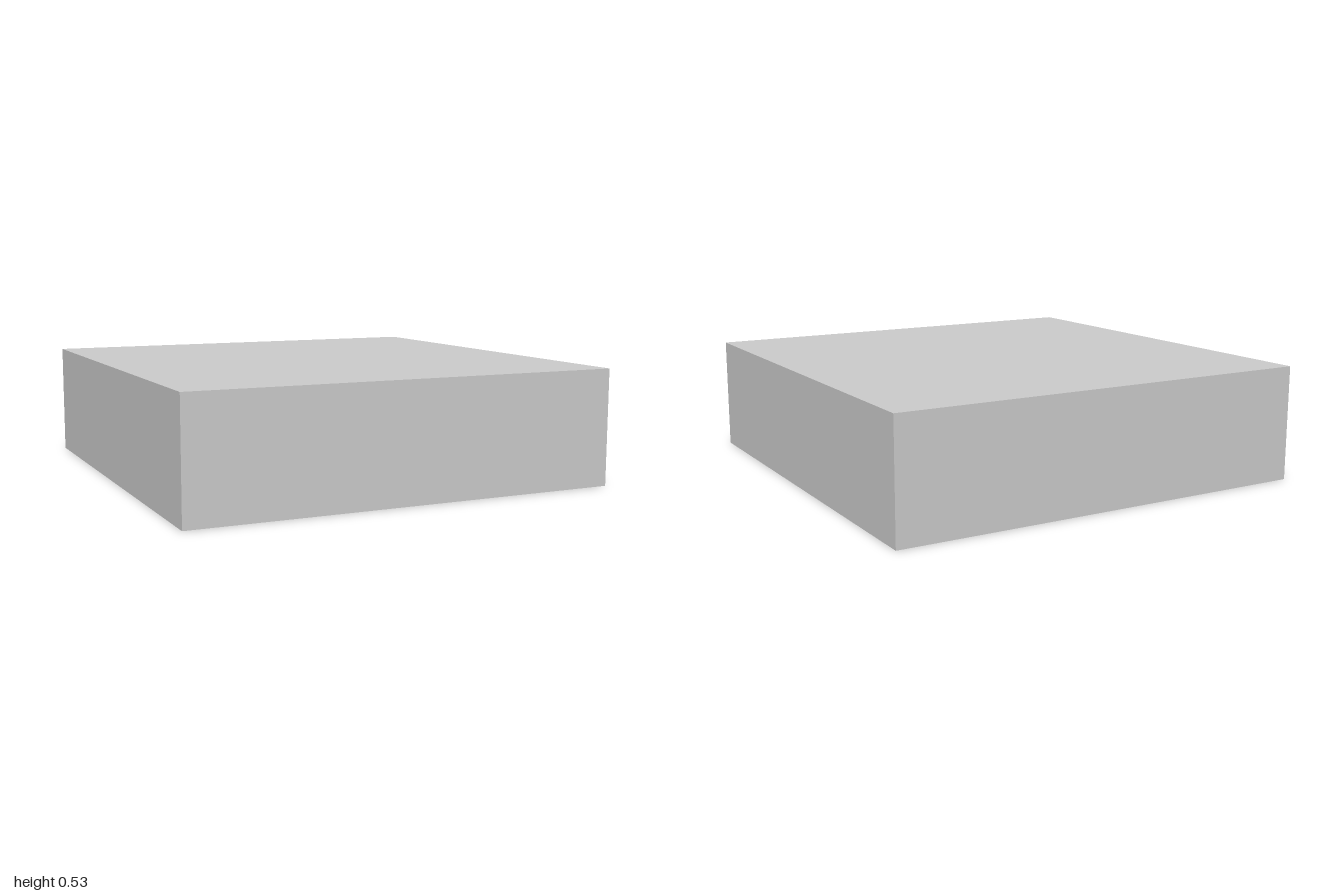
import * as THREE from 'three';

const H = 0.533;        // block height
const R = 1 / 3;        // well radius
const DEPTH = 0.333;    // well depth
const OFFSET = 0.467;   // well centres from the middle
const SLOT = 0.067;     // channel width and height
const SEG = 64;

// Box that keeps only the listed faces (0 +x, 1 -x, 2 +y, 3 -y, 4 +z, 5 -z)
function partialBox(w, h, d, faces) {
  const geo = new THREE.BoxGeometry(w, h, d);
  const all = Array.from(geo.index.array);
  geo.setIndex(faces.flatMap(f => all.slice(f * 6, f * 6 + 6)));
  geo.clearGroups();
  return geo;
}

export function createModel() {
  const group = new THREE.Group();
  const outside = new THREE.MeshStandardMaterial({ color: 0xcccccc });
  const inside = new THREE.MeshStandardMaterial({ color: 0xcccccc, side: THREE.DoubleSide });

  const add = (name, geo, mat, x, y, z) => {
    const mesh = new THREE.Mesh(geo, mat);
    mesh.name = name;
    mesh.position.set(x, y, z);
    group.add(mesh);
    return mesh;
  };

  // Top and four sides of the block
  add('blockShell', partialBox(2, H, 2, [0, 1, 2, 4, 5]), outside, 0, H / 2, 0);

  // Underside, pierced by the four wells
  const base = new THREE.Shape([[-1, -1], [1, -1], [1, 1], [-1, 1]].map(p => new THREE.Vector2(...p)));
  for (const x of [-OFFSET, OFFSET]) {
    for (const z of [-OFFSET, OFFSET]) {
      base.holes.push(new THREE.Path().absarc(x, z, R, 0, Math.PI * 2, true));
    }
  }
  add('underside', new THREE.ShapeGeometry(base, SEG / 2), outside, 0, 0, 0).rotation.x = Math.PI / 2;

  // Blind wells, each wall left open at the top where a channel enters
  const gap = Math.asin(SLOT / 2 / R);
  const low = DEPTH - SLOT;
  for (const x of [-OFFSET, OFFSET]) {
    for (const z of [-OFFSET, OFFSET]) {
      const start = (z < 0 ? 0 : Math.PI) + gap;
      add('wellWall', new THREE.CylinderGeometry(R, R, low, SEG, 1, true), inside, x, low / 2, z);
      add('wellUpperWall', new THREE.CylinderGeometry(R, R, SLOT, SEG, 1, true, start, Math.PI * 2 - gap * 2),
        inside, x, low + SLOT / 2, z);
      add('wellCeiling', new THREE.CircleGeometry(R, SEG), inside, x, DEPTH, z).rotation.x = Math.PI / 2;
    }
    // Channel joining the front and back wells
    const length = 2 * (OFFSET - R * Math.cos(gap));
    add('channel', partialBox(SLOT, SLOT, length, [0, 1, 2, 3]), inside, x, low + SLOT / 2, 0);
  }
  return group;
}
